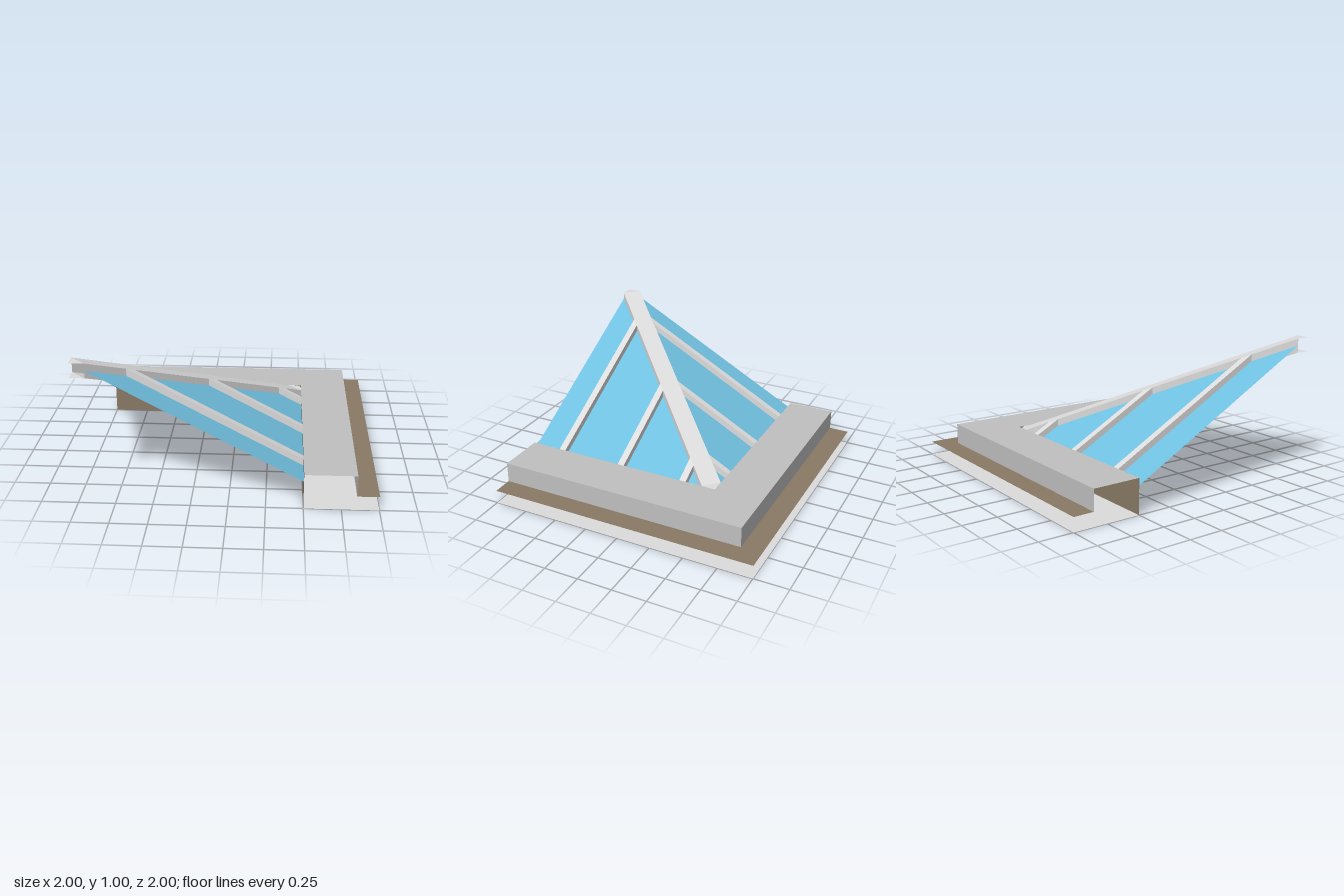
import * as THREE from 'three';

const IN = 0.5, FACE = 0.85, OUT = 1;      // inner wall, fascia and outer edge of the kerb
const SLOPE = 0.75 / 1.4;                  // rise of the roof planes
const roofY = (x) => 0.25 + SLOPE * (IN - x);

// flat convex faces, each a list of corners
function sheet(name, material, faces) {
  const pos = [];
  for (const f of faces) {
    for (let i = 1; i < f.length - 1; i++) pos.push(...f[0], ...f[i], ...f[i + 1]);
  }
  const geo = new THREE.BufferGeometry();
  geo.setAttribute('position', new THREE.Float32BufferAttribute(pos, 3));
  geo.computeVertexNormals();
  const mesh = new THREE.Mesh(geo, material);
  mesh.name = name;
  return mesh;
}

// reflect across the hip diagonal, keeping faces turned outward
const reflect = (faces) => faces.map((f) => f.map(([x, y, z]) => [-z, y, -x]).reverse());

export function createModel() {
  const make = (name, color) => {
    const m = new THREE.MeshStandardMaterial({ color, side: THREE.DoubleSide });
    m.name = name;
    return m;
  };
  const kerbGrey = make('kerbGrey', 0xc0c0c0);
  const lightMetal = make('lightMetal', 0xdcdcdc);
  const timber = make('timberBrown', 0x897a64);
  const glass = make('glassBlue', 0x70c0e0);

  const model = new THREE.Group();
  model.name = 'skylightCorner';

  // every part of the side run is repeated on the back run
  const both = (name, material, faces) => {
    model.add(sheet(name + 'Side', material, faces));
    model.add(sheet(name + 'Back', material, reflect(faces)));
  };
  // level strip, mitred at the corner
  const strip = (a, b, y) => [[a, y, 1], [b, y, 1], [b, y, -b], [a, y, -a]];
  // upright strip
  const wall = (x, y0, y1) => [[x, y0, 1], [x, y0, -x], [x, y1, -x], [x, y1, 1]];

  // kerb
  both('kerbTop', kerbGrey, [strip(IN, FACE, 0.25)]);
  both('kerbFascia', kerbGrey, [wall(FACE, 0.1, 0.25)]);
  both('kerbLedge', timber, [strip(FACE, OUT, 0.1)]);
  both('innerWall', timber, [wall(IN, 0, 0.25)]);
  both('kerbBase', lightMetal, [strip(IN, OUT, 0)]);

  // glazing, halfway down the depth of the bars
  both('glassPane', glass, [[
    [IN, 0.2, 1], [IN, 0.2, -0.4], [-0.9, roofY(-0.9) - 0.05, 1],
  ]]);

  // glazing bars, cut skew against the hip
  for (const zc of [0.75, 0.25, -0.25]) {
    const ring = (z) => {
      const xi = 0.1 - z, yi = roofY(xi);
      return [[IN, 0.15, z], [IN, 0.25, z], [xi, yi, z], [xi, yi - 0.1, z]];
    };
    const a = ring(zc + 0.025), b = ring(zc - 0.025);
    both('glazingBar', lightMetal, [
      a,
      [...b].reverse(),
      [a[1], b[1], b[2], a[2]],
      [a[3], b[3], b[0], a[0]],
    ]);
  }

  // hip beam: open hollow section with level end tabs
  const hipFlange = (drop) => {
    const hi = 1 - drop, lo = 0.25 - drop;
    const faces = [
      [[-0.9, hi, 1], [0.5, lo, -0.4], [0.4, lo, -0.5], [-1, hi, 0.9]],
      [[-1, hi, 1], [-0.9, hi, 1], [-1, hi, 0.9]],
      [[0.5, lo, -0.4], [0.5, lo, -0.45], [0.485, lo, -0.485], [0.45, lo, -0.5], [0.4, lo, -0.5]],
    ];
    return drop ? faces.map((f) => f.reverse()) : faces;
  };
  model.add(sheet('hipTop', lightMetal, hipFlange(0)));
  model.add(sheet('hipBottom', lightMetal, hipFlange(0.1)));
  both('hipWall', lightMetal, [[
    [-0.9, 0.9, 1], [0.5, 0.15, -0.4], [0.5, 0.25, -0.4], [-0.9, 1, 1],
  ]]);

  return model;
}
